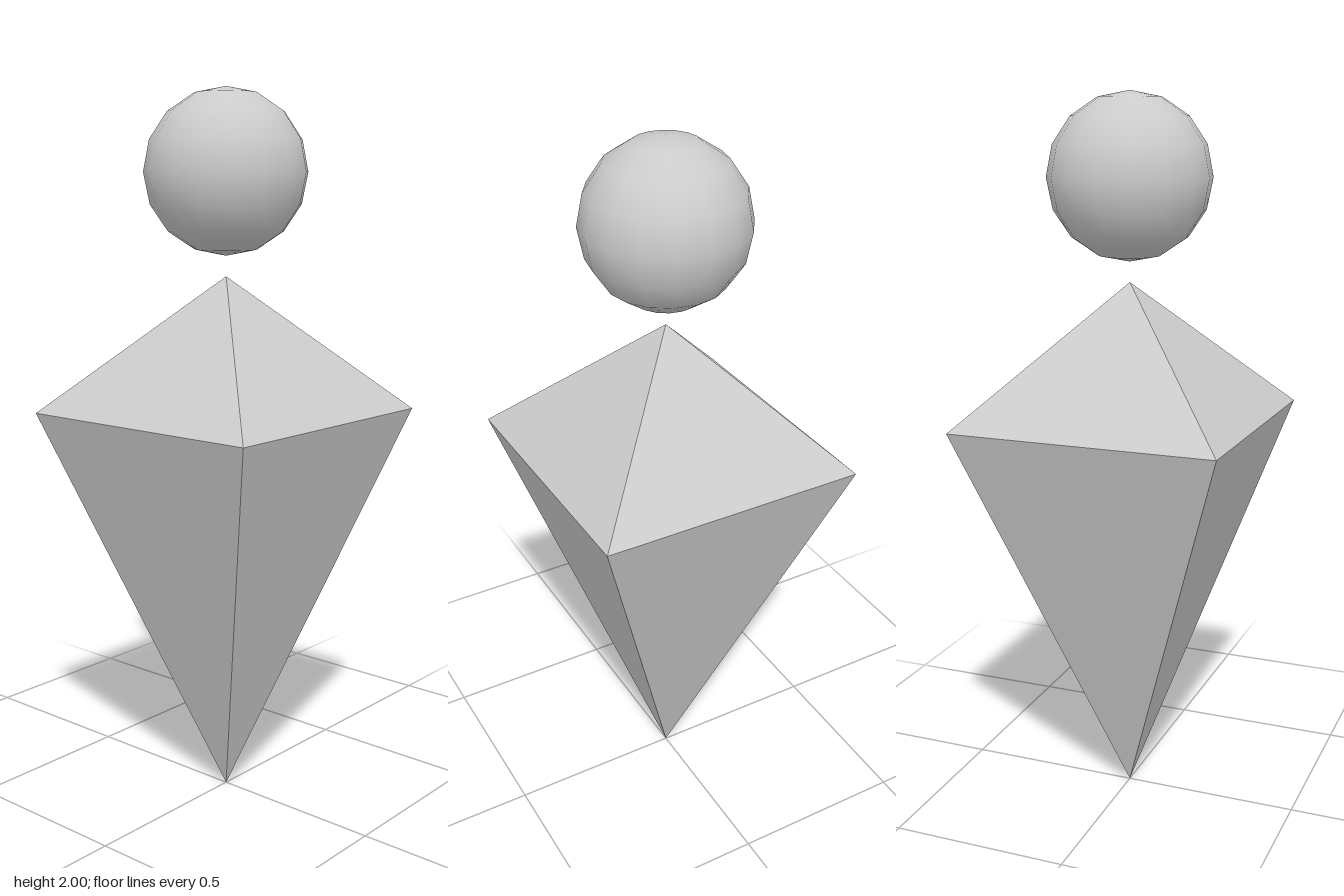
import * as THREE from 'three';

const HALF = 0.374; // half width of the square waist
const WAIST = 1.122; // height of the waist
const TOP = 1.496; // height of the upper point
const BALL = 0.224; // ball radius

export function createModel() {
  const group = new THREE.Group();
  const flat = new THREE.MeshStandardMaterial({ color: 0xcccccc, flatShading: true });
  const smooth = new THREE.MeshStandardMaterial({ color: 0xcccccc });

  // Four-sided pyramid with its open base on the waist, pointing up or down
  const addPyramid = (name, height, up) => {
    const geometry = new THREE.ConeGeometry(HALF * Math.SQRT2, height, 4, 1, true);
    geometry.rotateY(Math.PI / 4).translate(0, height / 2, 0);
    if (!up) geometry.rotateX(Math.PI);
    const mesh = new THREE.Mesh(geometry, flat);
    mesh.name = name;
    mesh.position.y = WAIST;
    group.add(mesh);
  };
  addPyramid('upperPyramid', TOP - WAIST, true);
  addPyramid('lowerPyramid', WAIST, false);

  // Ball floating above the upper point
  const ball = new THREE.Mesh(new THREE.SphereGeometry(BALL, 16, 8), smooth);
  ball.name = 'ball';
  ball.position.y = 2 - BALL;
  group.add(ball);

  return group;
}
